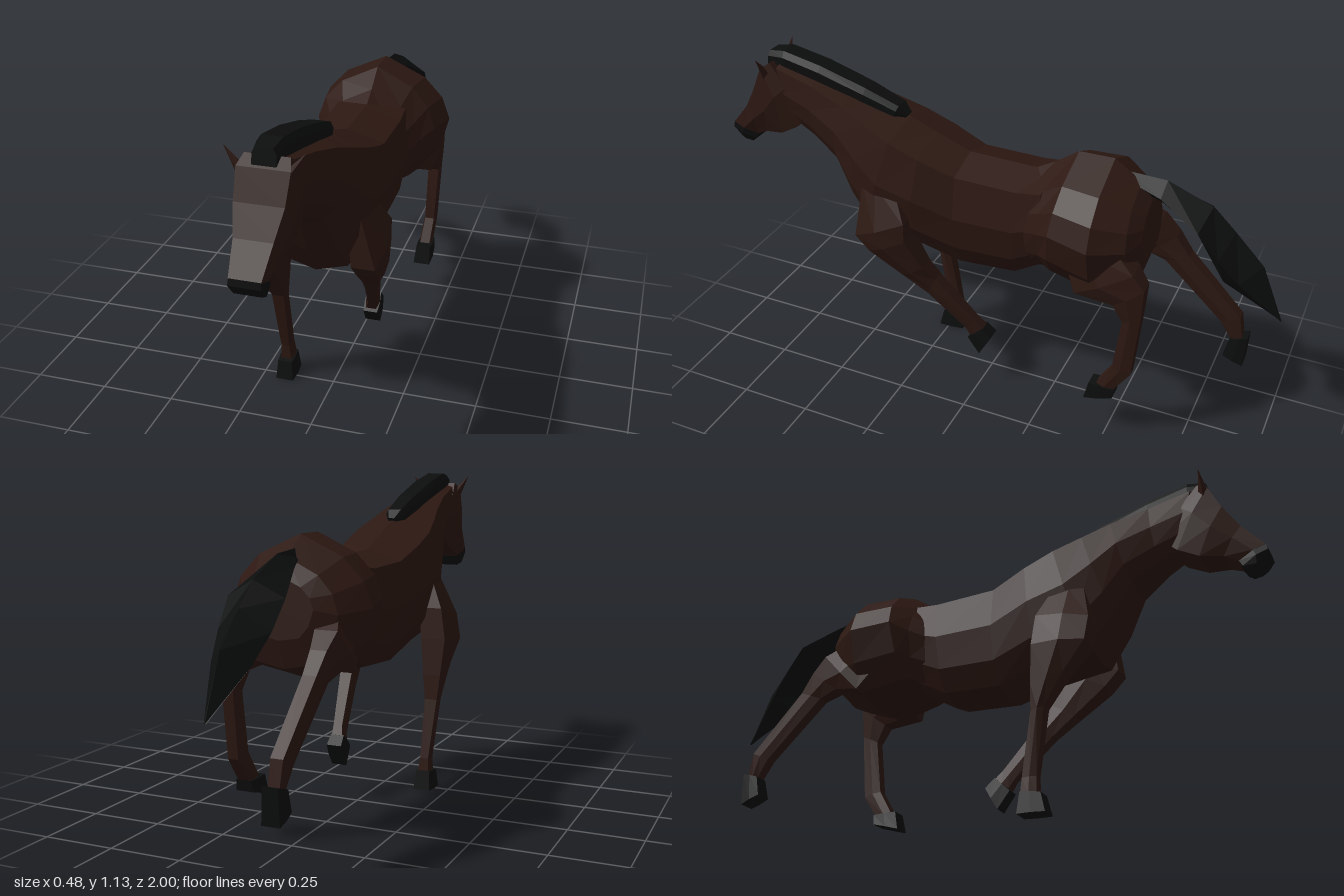
import * as THREE from 'three';

const coat = new THREE.MeshStandardMaterial({ color: 0x2d1812, flatShading: true });
const dark = new THREE.MeshStandardMaterial({ color: 0x0c0d0d, flatShading: true });

// Half profiles (x >= 0), from the "a" end (v = 1) to the "b" end (v = -1)
const RUMP = [[0, 1], [0.6, 0.7], [0.88, 0.38], [1, 0.02], [0.87, -0.5], [0.6, -0.88], [0, -1]];
const TRUNK = [[0, 1], [0.84, 0.82], [1, 0.1], [0.87, -0.5], [0.6, -0.88], [0, -1]];
const HEAD = [[0.87, 1], [1, 0.1], [0.72, -1]];
const LIMB = [[0.7, 1], [1, 0.1], [0.75, -1]];
const HOOF = [[0.88, 1], [1, 0], [0.88, -1]];
const BLADE = [[0, 1], [1, 0], [0, -1]];
const BLOCK = [[0.7, 1], [1, 0.4], [1, -1]];

// Lofts a profile through rings [za, ya, zb, yb, halfWidth, centreX], closing both ends
function loft(name, rings, half, material) {
  const mirrored = half.filter(p => p[0] > 0).reverse().map(([u, v]) => [-u, v]);
  const profile = [...half, ...mirrored];
  const n = profile.length;
  const loops = rings.map(([za, ya, zb, yb, w, cx = 0]) => profile.map(([u, v]) => {
    const t = (1 - v) / 2;
    return new THREE.Vector3(cx + u * w, ya + (yb - ya) * t, za + (zb - za) * t);
  }));
  const tris = [];
  for (let i = 0; i < loops.length - 1; i++) {
    for (let j = 0; j < n; j++) {
      const k = (j + 1) % n;
      const [a, b, c, d] = [loops[i][j], loops[i][k], loops[i + 1][k], loops[i + 1][j]];
      tris.push([a, b, c], [a, c, d]);
    }
  }
  const cap = (loop, flip) => {
    const mid = loop.reduce((s, p) => s.add(p), new THREE.Vector3()).divideScalar(n);
    loop.forEach((p, j) => {
      const q = loop[(j + 1) % n];
      tris.push(flip ? [mid, q, p] : [mid, p, q]);
    });
  };
  cap(loops[0], true);
  cap(loops[loops.length - 1], false);
  // Turn all faces outward
  const volume = tris.reduce((s, [a, b, c]) => s + a.dot(b.clone().cross(c)), 0);
  if (volume < 0) tris.forEach(t => t.reverse());
  const geometry = new THREE.BufferGeometry().setFromPoints(tris.flat());
  geometry.computeVertexNormals();
  const mesh = new THREE.Mesh(geometry, material);
  mesh.name = name;
  return mesh;
}

function leg(name, limbRings, hoofRings) {
  const group = new THREE.Group();
  group.name = name;
  group.add(loft(name + 'Limb', limbRings, LIMB, coat), loft(name + 'Hoof', hoofRings, HOOF, dark));
  return group;
}

export function createModel() {
  const horse = new THREE.Group();
  horse.name = 'horse';

  // Rounded rump
  horse.add(loft('rump', [
    [-0.55, 0.85, -0.565, 0.66, 0.11],
    [-0.51, 0.905, -0.54, 0.57, 0.175],
    [-0.42, 0.968, -0.42, 0.525, 0.24],
    [-0.30, 0.966, -0.26, 0.555, 0.215],
    [-0.22, 0.91, -0.23, 0.555, 0.175],
    [-0.15, 0.87, -0.15, 0.53, 0.135],
  ], RUMP, coat));

  // Barrel, chest and neck
  horse.add(loft('trunk', [
    [-0.22, 0.88, -0.23, 0.555, 0.145],
    [-0.14, 0.875, -0.12, 0.488, 0.15],
    [0.08, 0.88, 0.08, 0.473, 0.15],
    [0.20, 0.925, 0.25, 0.52, 0.17],
    [0.30, 0.965, 0.42, 0.54, 0.17],
    [0.40, 0.995, 0.50, 0.65, 0.148],
    [0.50, 1.025, 0.56, 0.77, 0.122],
    [0.63, 1.06, 0.65, 0.83, 0.093],
    [0.78, 1.095, 0.72, 0.865, 0.078],
  ], TRUNK, coat));

  // Head and muzzle
  horse.add(loft('head', [
    [0.80, 1.09, 0.66, 0.92, 0.075],
    [0.835, 1.065, 0.715, 0.865, 0.088],
    [0.875, 0.98, 0.785, 0.825, 0.083],
    [0.925, 0.90, 0.86, 0.81, 0.065],
    [0.995, 0.82, 0.905, 0.787, 0.053],
  ], HEAD, coat));
  horse.add(loft('muzzle', [
    [0.996, 0.82, 0.903, 0.787, 0.052],
    [1.0, 0.80, 0.915, 0.765, 0.054],
    [0.98, 0.768, 0.935, 0.748, 0.045],
  ], HEAD, dark));

  // Ears, splayed outward
  for (const s of [-1, 1]) {
    const ear = new THREE.Mesh(new THREE.ConeGeometry(0.019, 0.09, 4), coat);
    ear.name = s > 0 ? 'leftEar' : 'rightEar';
    ear.position.set(s * 0.09, 1.08, 0.82);
    ear.rotation.z = -s * 0.6;
    horse.add(ear);
  }

  // Mane and tail
  horse.add(loft('mane', [
    [0.82, 1.118, 0.83, 1.06, 0.035],
    [0.76, 1.128, 0.76, 1.06, 0.045],
    [0.62, 1.1, 0.62, 1.03, 0.046],
    [0.45, 1.05, 0.46, 0.98, 0.043],
    [0.33, 1.005, 0.35, 0.95, 0.035],
    [0.30, 0.975, 0.32, 0.95, 0.015],
  ], BLOCK, dark));
  horse.add(loft('tail', [
    [-0.47, 0.928, -0.50, 0.87, 0.02, -0.008],
    [-0.59, 0.922, -0.58, 0.84, 0.052, -0.012],
    [-0.74, 0.862, -0.70, 0.76, 0.092, -0.014],
    [-0.82, 0.79, -0.76, 0.66, 0.085, -0.014],
    [-0.92, 0.69, -0.80, 0.60, 0.065, -0.012],
    [-1.0, 0.505, -0.995, 0.508, 0.004, -0.01],
  ], BLADE, dark));

  // Front legs: right planted, left folding back
  horse.add(leg('frontRightLeg', [
    [0.42, 0.75, 0.31, 0.77, 0.03, -0.13],
    [0.45, 0.62, 0.27, 0.66, 0.055, -0.165],
    [0.44, 0.53, 0.26, 0.55, 0.06, -0.18],
    [0.36, 0.44, 0.25, 0.42, 0.043, -0.18],
    [0.29, 0.34, 0.245, 0.33, 0.03, -0.18],
    [0.255, 0.12, 0.205, 0.12, 0.02, -0.172],
    [0.255, 0.065, 0.20, 0.07, 0.026, -0.17],
  ], [
    [0.27, 0.065, 0.20, 0.075, 0.028, -0.17],
    [0.285, 0, 0.19, 0.005, 0.034, -0.168],
  ]));
  horse.add(leg('frontLeftLeg', [
    [0.42, 0.75, 0.30, 0.77, 0.03, 0.12],
    [0.43, 0.57, 0.24, 0.66, 0.055, 0.155],
    [0.38, 0.52, 0.24, 0.59, 0.055, 0.155],
    [0.27, 0.43, 0.19, 0.48, 0.04, 0.135],
    [0.19, 0.36, 0.155, 0.425, 0.03, 0.115],
    [0.06, 0.22, 0.02, 0.26, 0.022, 0.085],
    [0.045, 0.19, -0.005, 0.23, 0.026, 0.077],
  ], [
    [0.052, 0.18, -0.002, 0.232, 0.028, 0.076],
    [0.008, 0.12, -0.037, 0.20, 0.031, 0.074],
  ]));

  // Hind legs: left under the rump, right kicked out
  horse.add(leg('hindLeftLeg', [
    [-0.32, 0.68, -0.48, 0.75, 0.05, 0.13],
    [-0.37, 0.56, -0.56, 0.68, 0.05, 0.155],
    [-0.50, 0.55, -0.60, 0.63, 0.036, 0.163],
    [-0.535, 0.49, -0.595, 0.52, 0.026, 0.165],
    [-0.51, 0.29, -0.575, 0.28, 0.024, 0.16],
    [-0.46, 0.205, -0.52, 0.195, 0.026, 0.155],
  ], [
    [-0.435, 0.20, -0.525, 0.20, 0.03, 0.154],
    [-0.42, 0.133, -0.52, 0.163, 0.035, 0.152],
  ]));
  horse.add(leg('hindRightLeg', [
    [-0.32, 0.68, -0.48, 0.75, 0.05, -0.12],
    [-0.42, 0.55, -0.555, 0.70, 0.05, -0.15],
    [-0.51, 0.57, -0.61, 0.65, 0.036, -0.152],
    [-0.58, 0.55, -0.66, 0.585, 0.03, -0.148],
    [-0.79, 0.36, -0.855, 0.39, 0.027, -0.145],
    [-0.83, 0.30, -0.87, 0.31, 0.024, -0.143],
  ], [
    [-0.83, 0.30, -0.89, 0.32, 0.028, -0.142],
    [-0.815, 0.23, -0.885, 0.205, 0.033, -0.14],
  ]));

  return horse;
}
